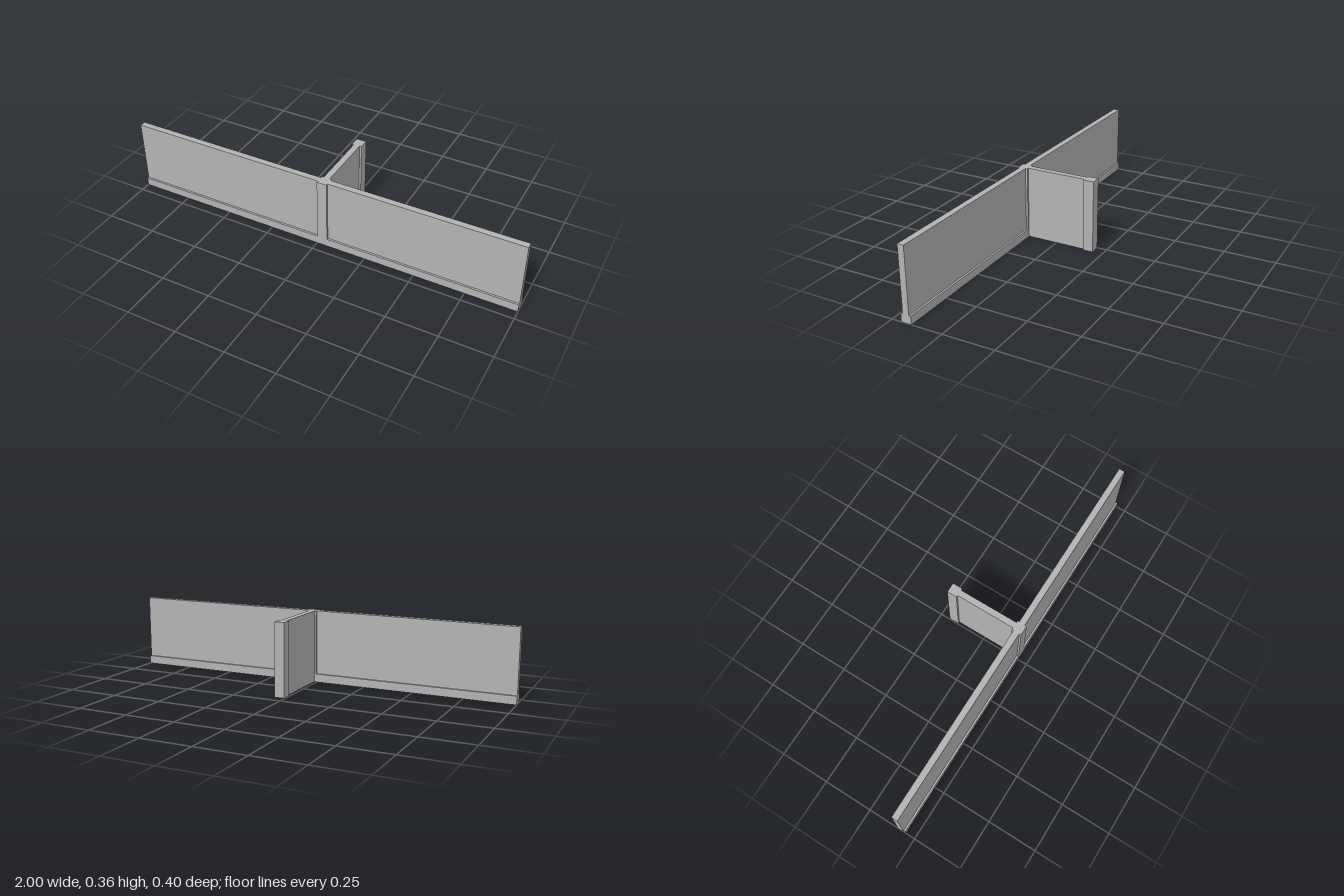
import * as THREE from 'three';

const HEIGHT = 0.359, BASE_HEIGHT = 0.041;
const CROSS_X = 0.028;                  // centre line of the cross wall
const POST = 0.0505, WALL = 0.031;      // thicknesses
const FRONT_Z = 0.1765, END_Z = -0.176; // centres of the long wall and the end post

export function createModel() {
  const model = new THREE.Group();
  model.name = 'partitionWall';
  const grey = new THREE.MeshStandardMaterial({ color: 0xb3b3b3 });
  grey.name = 'plain grey';

  // Box given by its lower and upper limits on each axis
  const addBox = (name, [x0, x1], [y0, y1], [z0, z1]) => {
    const mesh = new THREE.Mesh(new THREE.BoxGeometry(x1 - x0, y1 - y0, z1 - z0), grey);
    mesh.name = name;
    mesh.position.set((x0 + x1) / 2, (y0 + y1) / 2, (z0 + z1) / 2);
    model.add(mesh);
  };
  const span = (centre, size) => [centre - size / 2, centre + size / 2];

  const postX = span(CROSS_X, POST);
  const upper = [BASE_HEIGHT, HEIGHT], full = [0, HEIGHT];
  const baseZ = span(FRONT_Z, POST), panelZ = span(FRONT_Z, WALL), endZ = span(END_Z, POST);

  // Long wall: plinth, two panels and the post between them
  addBox('plinth', [-1, 1], [0, BASE_HEIGHT], baseZ);
  addBox('rightPanel', [-1, postX[0]], upper, panelZ);
  addBox('leftPanel', [postX[1], 1], upper, panelZ);
  addBox('junctionPost', postX, upper, baseZ);

  // Cross wall running back to its end post
  addBox('crossWall', span(CROSS_X, WALL), full, [endZ[1], baseZ[0]]);
  addBox('endPost', postX, full, endZ);
  return model;
}
